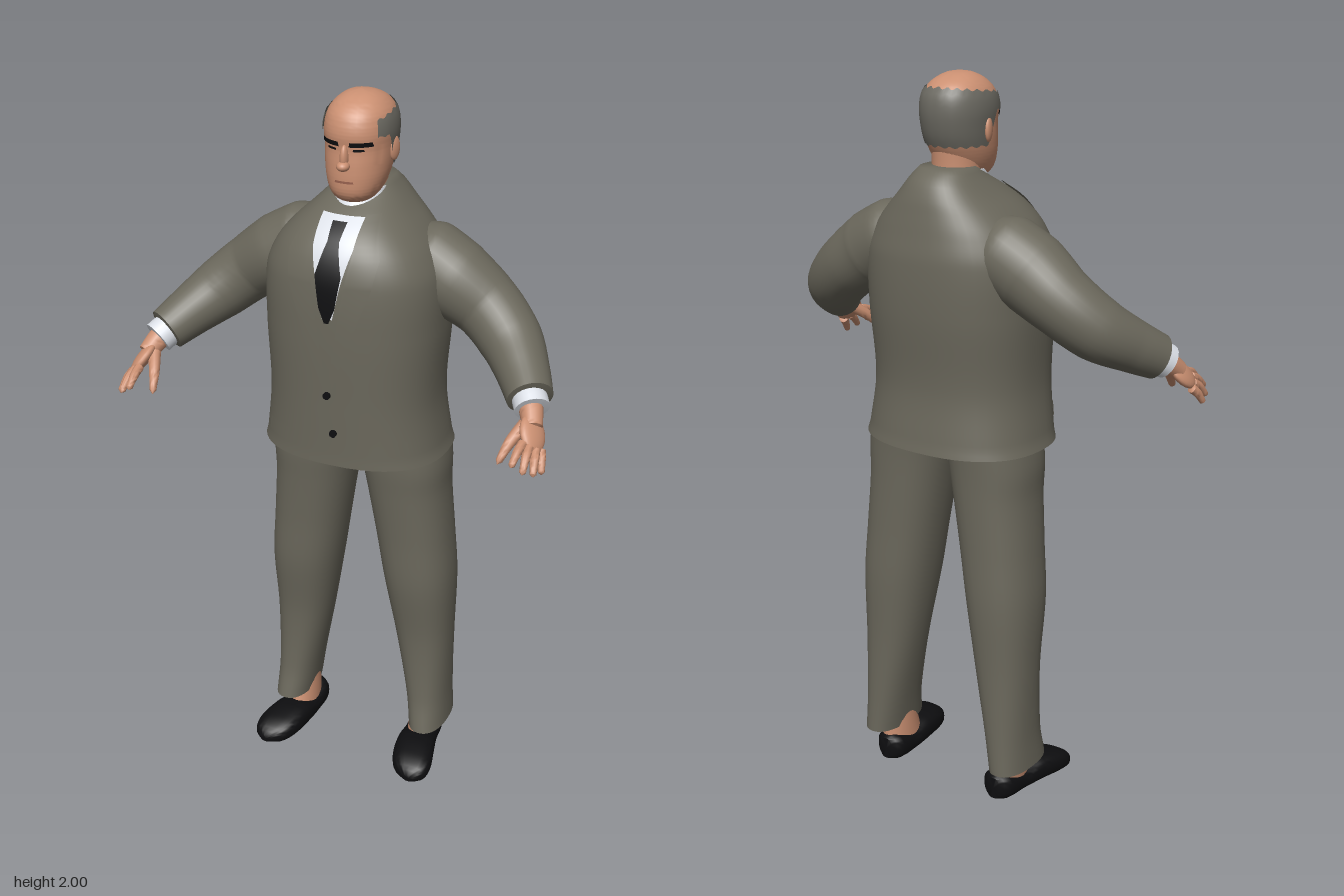
import * as THREE from 'three';
import { mergeVertices, toCreasedNormals } from 'three/addons/utils/BufferGeometryUtils.js';

const mat = (name, color, side = THREE.FrontSide) => {
  const m = new THREE.MeshStandardMaterial({ color, side });
  m.name = name;
  return m;
};
const V = (p) => new THREE.Vector3(...p);

// Smooth interpolation of section rows [t, centreX, halfWidth, front, back]
function sample(secs, t) {
  const last = secs.length - 1;
  let i = 0;
  while (i < last - 1 && t > secs[i + 1][0]) i++;
  const a = secs[i], b = secs[i + 1], p = secs[Math.max(i - 1, 0)], q = secs[Math.min(i + 2, last)];
  const h = b[0] - a[0], u = THREE.MathUtils.clamp((t - a[0]) / h, 0, 1);
  return a.map((_, k) => {
    const m0 = (b[k] - p[k]) / (b[0] - p[0]) * h, m1 = (q[k] - a[k]) / (q[0] - a[0]) * h;
    return (2 * u ** 3 - 3 * u * u + 1) * a[k] + (u ** 3 - 2 * u * u + u) * m0
      + (3 * u * u - 2 * u ** 3) * b[k] + (u ** 3 - u * u) * m1;
  });
}

// Point on a lofted body at angle a (0 = front) and height t
function ringPoint(secs, n, a, t, grow = 0) {
  const [, cx, rx, zf, zb] = sample(secs, t);
  const pw = (v) => Math.sign(v) * Math.abs(v) ** (2 / n);
  return [cx + (rx + grow) * pw(Math.sin(a)), t, (zf + zb) / 2 + ((zf - zb) / 2 + grow) * pw(Math.cos(a))];
}

function fromArrays(pos, idx) {
  const g = new THREE.BufferGeometry();
  g.setAttribute('position', new THREE.Float32BufferAttribute(pos, 3));
  g.setIndex(idx);
  return g;
}

// Closed loft of rounded rings, along y or (alongZ) along z
function loft(secs, n = 2, rings = 40, seg = 36, alongZ = false) {
  const pos = [], idx = [], t0 = secs[0][0], t1 = secs[secs.length - 1][0];
  const put = ([x, y, z]) => pos.push(x, alongZ ? z : y, alongZ ? y : z);
  const tri = (a, b, c) => (alongZ ? idx.push(a, c, b) : idx.push(a, b, c));
  for (let i = 0; i <= rings; i++) {
    for (let j = 0; j < seg; j++) put(ringPoint(secs, n, j / seg * Math.PI * 2, t0 + (t1 - t0) * i / rings));
  }
  for (const s of [secs[0], secs[secs.length - 1]]) put([s[1], s[0], (s[3] + s[4]) / 2]);
  const bot = (rings + 1) * seg, top = bot + 1;
  for (let j = 0; j < seg; j++) {
    const k = (j + 1) % seg;
    for (let i = 0; i < rings; i++) {
      const a = i * seg + j, b = i * seg + k;
      tri(a, b, a + seg);
      tri(b, b + seg, a + seg);
    }
    tri(bot, k, j);
    tri(top, rings * seg + j, rings * seg + k);
  }
  return toCreasedNormals(fromArrays(pos, idx), 0.9);
}

// Rectangular grid of points fn(u, v), v running downwards
function grid(cols, rows, fn) {
  const pos = [], idx = [];
  for (let r = 0; r <= rows; r++) for (let c = 0; c <= cols; c++) pos.push(...fn(c / cols, r / rows));
  for (let r = 0; r < rows; r++) for (let c = 0; c < cols; c++) {
    const a = r * (cols + 1) + c, b = a + cols + 1;
    idx.push(a, b, a + 1, b, b + 1, a + 1);
  }
  const g = fromArrays(pos, idx);
  g.computeVertexNormals();
  return g;
}

// Thin patch on the front of a loft; rows are [y, left, right] from top to bottom
function patch(secs, n, rows, off) {
  return grid(8, (rows.length - 1) * 6, (u, v) => {
    const f = v * (rows.length - 1), i = Math.min(Math.floor(f), rows.length - 2);
    const [y, l, r] = rows[i].map((s, k) => s + (rows[i + 1][k] - s) * (f - i));
    const x = l + (r - l) * u, [, cx, rx, zf, zb] = sample(secs, y);
    const k = Math.max(0, 1 - Math.abs((x - cx) / rx) ** n) ** (1 / n);
    return [x, y, (zf + zb) / 2 + (zf - zb) / 2 * k + off];
  });
}
const mirrorRows = (rows, s) => rows.map(([y, l, r]) => (s > 0 ? [y, l, r] : [y, -r, -l]));

// Closed tube whose thickness follows a list of radii
function sweep(points, radii, seg = 14, steps = 36) {
  const curve = new THREE.CatmullRomCurve3(points.map(V));
  const g = new THREE.TubeGeometry(curve, steps, 1, seg);
  const p = g.attributes.position, v = new THREE.Vector3();
  for (let i = 0; i <= steps; i++) {
    const c = curve.getPointAt(i / steps), f = curve.getUtoTmapping(i / steps) * (radii.length - 1);
    const k = Math.min(Math.floor(f), radii.length - 2);
    const r = i % steps === 0 ? 0.0005 : THREE.MathUtils.lerp(radii[k], radii[k + 1], f - k);
    for (let j = 0; j <= seg; j++) {
      const q = i * (seg + 1) + j;
      v.fromBufferAttribute(p, q).sub(c).multiplyScalar(r).add(c);
      p.setXYZ(q, v.x, v.y, v.z);
    }
  }
  g.deleteAttribute('uv');
  g.deleteAttribute('normal');
  return toCreasedNormals(mergeVertices(g, 1e-5), 0.9);
}

const TORSO = [
  [1.03, 0, 0.26, 0.148, -0.265], [1.06, 0, 0.252, 0.148, -0.26], [1.2, 0, 0.236, 0.152, -0.248],
  [1.4, 0, 0.245, 0.157, -0.265], [1.54, 0, 0.242, 0.152, -0.266], [1.61, 0, 0.212, 0.135, -0.255],
  [1.66, 0, 0.17, 0.105, -0.245], [1.7, 0, 0.128, 0.058, -0.235], [1.74, 0, 0.09, -0.01, -0.215],
  [1.766, 0, 0.068, -0.045, -0.185]];
const HEAD = [
  [1.722, 0, 0.03, 0.005, -0.07], [1.735, 0, 0.05, 0.032, -0.09], [1.755, 0, 0.065, 0.047, -0.11],
  [1.79, 0, 0.078, 0.051, -0.135], [1.83, 0, 0.085, 0.05, -0.157], [1.87, 0, 0.088, 0.047, -0.168],
  [1.91, 0, 0.09, 0.05, -0.172], [1.95, 0, 0.082, 0.038, -0.165], [1.975, 0, 0.064, 0.014, -0.143],
  [1.99, 0, 0.043, -0.015, -0.112], [1.998, 0, 0.022, -0.04, -0.083], [2, 0, 0.004, -0.058, -0.066]];
const LEG = [
  [0.1, 0.218, 0.054, 0.01, -0.205], [0.2, 0.208, 0.06, -0.008, -0.203], [0.4, 0.19, 0.08, -0.008, -0.203],
  [0.6, 0.175, 0.1, 0.02, -0.21], [0.75, 0.158, 0.107, 0.028, -0.208], [0.9, 0.14, 0.114, 0.04, -0.208],
  [0.98, 0.133, 0.122, 0.048, -0.21], [1.06, 0.122, 0.125, 0.05, -0.215]];
const SHOE = [
  [-0.176, 0.19, 0.02, 0.07, 0.006], [-0.155, 0.19, 0.044, 0.078, 0], [-0.08, 0.194, 0.05, 0.062, 0],
  [-0.01, 0.204, 0.058, 0.075, 0], [0.06, 0.218, 0.06, 0.066, 0], [0.1, 0.227, 0.046, 0.05, 0],
  [0.122, 0.232, 0.015, 0.03, 0.008]];

export function createModel() {
  const D = THREE.DoubleSide;
  const suit = mat('suit grey', 0x6b685c, D), skin = mat('skin', 0xcb9072), shirt = mat('shirt white', 0xdde1e8, D);
  const black = mat('black', 0x0e0e10, D), hair = mat('hair grey', 0x6c6a62, D), lip = mat('lip', 0x9a6350, D);
  const model = new THREE.Group();
  const add = (name, geo, material) => {
    const m = new THREE.Mesh(geo, material);
    m.name = name;
    model.add(m);
    return m;
  };
  const ball = (name, material, at, r) => {
    const m = add(name, new THREE.SphereGeometry(1, 20, 14), material);
    m.position.set(...at);
    m.scale.set(...r);
    return m;
  };

  // Jacket, shirt and tie
  add('jacket', loft(TORSO, 2.4, 60, 48), suit);
  add('shirtFront', patch(TORSO, 2.4, [[1.705, -0.06, 0.06], [1.64, -0.055, 0.055], [1.56, -0.035, 0.035], [1.46, -0.014, 0.014]], 0.004), shirt);
  add('tie', patch(TORSO, 2.4, [[1.695, -0.02, 0.02], [1.655, -0.016, 0.016], [1.575, -0.036, 0.036], [1.49, -0.022, 0.022], [1.45, -0.006, 0.006]], 0.009), black);
  add('shirtCollar', loft([[1.68, 0, 0.078, 0.045, -0.15], [1.72, 0, 0.072, 0.025, -0.145], [1.755, 0, 0.068, 0.0, -0.14]], 2, 8), shirt);
  for (const y of [1.24, 1.13]) {
    const b = add('jacketButton', new THREE.CylinderGeometry(0.01, 0.01, 0.008, 16), black);
    b.rotation.x = Math.PI / 2;
    b.position.set(y < 1.2 ? 0.012 : -0.004, y, sample(TORSO, y)[3] + 0.004);
  }

  // Head and face
  add('neck', loft([[1.66, 0, 0.07, 0.0, -0.15], [1.75, 0, 0.064, -0.008, -0.142], [1.84, 0, 0.066, 0, -0.145]], 2, 10), skin);
  add('head', loft(HEAD, 2.15, 60, 40), skin);
  ball('nose', skin, [0, 1.852, 0.048], [0.011, 0.034, 0.016]);
  ball('noseTip', skin, [0, 1.833, 0.056], [0.017, 0.013, 0.019]);
  add('mouth', patch(HEAD, 2.15, [[1.793, -0.024, 0.024], [1.787, -0.026, 0.026]], 0.003), lip);
  // Hair runs round the back, leaving the crown bare and rising over the ears
  add('hair', grid(72, 10, (u, v) => {
    const a = (0.29 + 1.42 * u) * Math.PI, k = Math.abs(u - 0.5) * 2, wave = 0.003 * Math.sin(u * 90);
    const low = 1.818 + 0.085 * THREE.MathUtils.smoothstep(k, 0.66, 0.85) + wave;
    const high = 1.966 - 0.022 * k * k + wave;
    return ringPoint(HEAD, 2.15, a, high + (low - high) * v, 0.004);
  }), hair);

  for (const s of [1, -1]) {
    const mx = (pts) => pts.map(([x, y, z]) => [x * s, y, z]);
    // Face and jacket details
    add('eyebrow', patch(HEAD, 2.15, mirrorRows([[1.894, 0.016, 0.066], [1.882, 0.013, 0.068]], s), 0.005), black);
    add('eye', patch(HEAD, 2.15, mirrorRows([[1.876, 0.024, 0.048], [1.87, 0.022, 0.05]], s), 0.003), black);
    const ear = ball('ear', skin, [0.09 * s, 1.858, -0.062], [0.009, 0.032, 0.019]);
    ear.rotation.y = -0.3 * s;
    add('lapel', patch(TORSO, 2.4, mirrorRows([[1.71, 0.058, 0.09], [1.62, 0.056, 0.125], [1.55, 0.045, 0.115], [1.26, 0, 0.012]], s), 0.009), suit);
    add('pocketFlap', patch(TORSO, 2.4, mirrorRows([[1.115, 0.11, 0.2], [1.075, 0.11, 0.205]], s), 0.007), suit);

    // Sleeve and cuff
    add('sleeve', sweep(mx([[0.11, 1.585, -0.1], [0.17, 1.56, -0.105], [0.25, 1.515, -0.1], [0.34, 1.455, -0.098],
      [0.42, 1.39, -0.06], [0.48, 1.34, 0.01], [0.528, 1.297, 0.082]]), [0.07, 0.105, 0.106, 0.091, 0.084, 0.07, 0.059], 28, 48), suit);
    add('shirtCuff', sweep(mx([[0.51, 1.312, 0.06], [0.525, 1.298, 0.08], [0.538, 1.284, 0.1]]), [0.044, 0.046, 0.046], 20, 20), shirt);

    // Hand
    add('wrist', sweep(mx([[0.52, 1.3, 0.075], [0.535, 1.283, 0.1], [0.553, 1.25, 0.14]]), [0.03, 0.031, 0.026], 16, 14), skin);
    const dir = V([0.035 * s, -0.07, 0.09]).normalize();
    const wide = V([0.06 * s, -0.05, -0.075]);
    wide.addScaledVector(dir, -wide.dot(dir)).normalize();
    const palm = ball('palm', skin, [0.556 * s, 1.243, 0.148], [0.041, 0.018, 0.055]);
    palm.quaternion.setFromRotationMatrix(new THREE.Matrix4().makeBasis(wide, dir.clone().cross(wide), dir));
    const base = [[0.546, 1.236, 0.186], [0.56, 1.228, 0.182], [0.573, 1.217, 0.17], [0.581, 1.208, 0.152]];
    const tip = [[0.54, 1.2, 0.264], [0.568, 1.182, 0.257], [0.588, 1.167, 0.23], [0.599, 1.158, 0.194]];
    base.forEach((b, i) => {
      const mid = b.map((c, k) => (c + tip[i][k]) / 2 + (k === 1 ? 0.007 : 0));
      add('finger', sweep(mx([b, mid, tip[i]]), [0.013, 0.012, 0.008], 10, 12), skin);
    });
    add('thumb', sweep(mx([[0.535, 1.262, 0.125], [0.508, 1.223, 0.178], [0.491, 1.178, 0.222]]), [0.019, 0.015, 0.008], 10, 12), skin);

    // Leg and foot
    const side = (secs) => secs.map(([t, cx, ...r]) => [t, cx * s, ...r]);
    add('trouserLeg', loft(side(LEG), 2.3, 48, 32), suit);
    add('ankle', loft(side([[0.03, 0.193, 0.04, -0.01, -0.165], [0.08, 0.197, 0.042, -0.025, -0.165], [0.16, 0.205, 0.045, -0.04, -0.165]]), 2, 8, 24), skin);
    add('shoe', loft(side(SHOE), 2.8, 30, 28, true), black);
  }
  return model;
}
